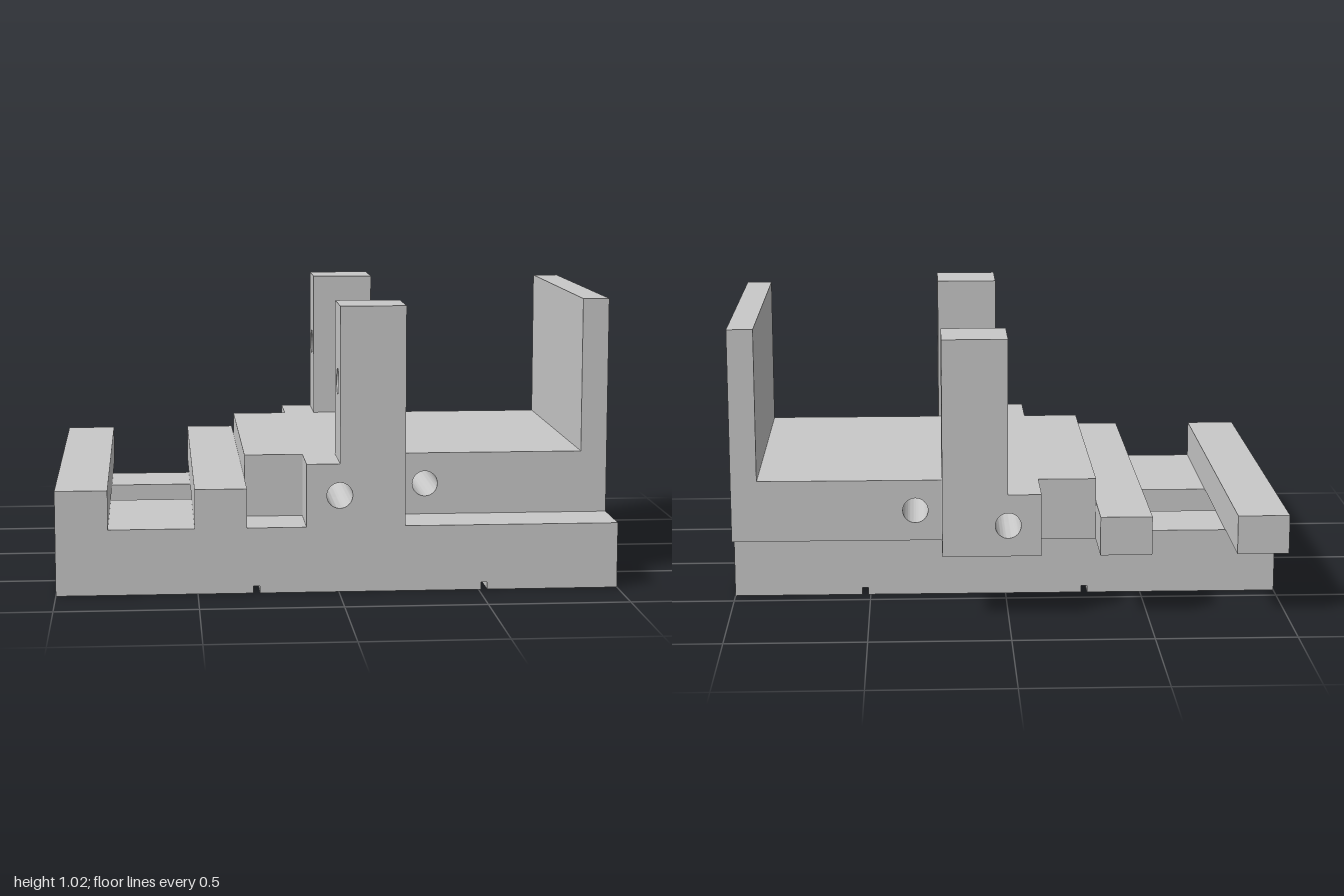
import * as THREE from 'three';
import { toCreasedNormals } from 'three/addons/utils/BufferGeometryUtils.js';

const HOLE_R = 0.046;

export function createModel() {
  const model = new THREE.Group();
  model.name = 'fixture';
  const grey = new THREE.MeshStandardMaterial({ color: 0xc8c8c8 });
  grey.name = 'light grey';

  // Extrude a closed outline with round holes by the given depth.
  function extrude(points, holes, depth) {
    const shape = new THREE.Shape(points.map(([x, y]) => new THREE.Vector2(x, y)));
    for (const [x, y] of holes) {
      const hole = new THREE.Path();
      hole.absarc(x, y, HOLE_R, 0, Math.PI * 2, true);
      shape.holes.push(hole);
    }
    const geometry = new THREE.ExtrudeGeometry(shape, { depth, bevelEnabled: false, curveSegments: 32 });
    return toCreasedNormals(geometry, Math.PI / 6);
  }

  const rect = (x0, x1, y0, y1) => [[x0, y0], [x1, y0], [x1, y1], [x0, y1]];

  function add(name, geometry) {
    const mesh = new THREE.Mesh(geometry, grey);
    mesh.name = name;
    model.add(mesh);
  }

  // Front-facing outline swept from z0 to z1.
  function addAlongZ(name, points, holes, z0, z1) {
    add(name, extrude(points, holes, z1 - z0).translate(0, 0, z0));
  }

  const deck = 0.235;
  const plateTop = 0.46;
  const wallTop = 1.018;
  const plateZ = 0.537;
  const endZ = 0.761;

  // Two cross bars with small grooves in the underside
  const barOutline = [[-1, 0]];
  for (const x of [-0.303, 0.509]) {
    barOutline.push([x, 0], [x, 0.026], [x + 0.022, 0.026], [x + 0.022, 0]);
  }
  barOutline.push([1, 0], [1, deck], [-1, deck]);
  addAlongZ('frontBar', barOutline, [], 0.173, endZ);
  addAlongZ('rearBar', barOutline, [], -0.435, -0.157);

  // Two long rails lying across the bars
  addAlongZ('outerRail', rect(-1, -0.815, deck, 0.375), [], -endZ, endZ);
  addAlongZ('innerRail', rect(-0.51, -0.325, deck, 0.375), [], -endZ, endZ);

  // Thick plate with an upright side wall, drilled from front to back
  addAlongZ('plateAndWall', [
    [-0.325, deck], [1, deck], [1, wallTop], [0.905, wallTop], [0.905, plateTop], [-0.325, plateTop],
  ], [[0.003, 0.347], [0.332, 0.347]], -plateZ, plateZ);

  // Drilled foot and post at the front and the back
  for (const [side, z0, z1] of [['front', plateZ, endZ], ['rear', -endZ, -plateZ]]) {
    addAlongZ(side + 'Foot', rect(-0.115, 0.237, deck, plateTop), [[0.003, 0.347]], z0, z1);
    const half = (z1 - z0) / 2;
    const post = extrude(rect(-half, half, plateTop, wallTop), [[0, 0.74]], 0.233);
    post.rotateY(Math.PI / 2).translate(0.004, 0, (z0 + z1) / 2);
    add(side + 'Post', post);
  }

  return model;
}
